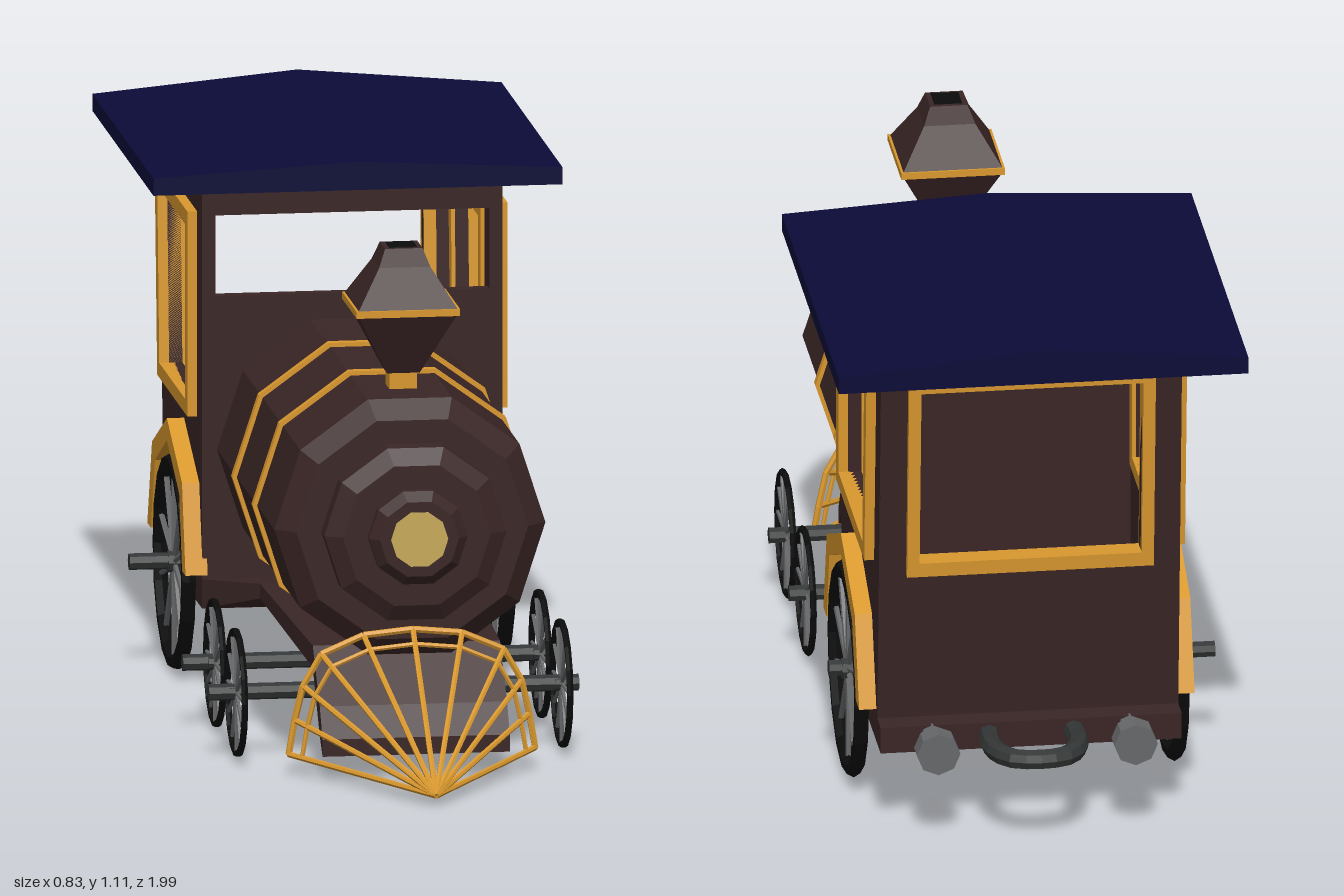
import * as THREE from 'three';

const mat = (name, color, extra = {}) => {
  const m = new THREE.MeshStandardMaterial({ color, flatShading: true, ...extra });
  m.name = name;
  return m;
};

export function createModel() {
  const brown = mat('darkBrown', 0x3a2525);
  const gold = mat('gold', 0xd9982e);
  const navy = mat('navy', 0x0b0b38);
  const black = mat('black', 0x0c0c0c);
  const iron = mat('iron', 0x333636);
  const steel = mat('steel', 0x66686a);
  const lampYellow = mat('lampYellow', 0xc8a95a);
  const root = new THREE.Group();
  root.name = 'steamEngine';

  const add = (name, geo, material, parent = root) => {
    const m = new THREE.Mesh(geo, material);
    m.name = name;
    parent.add(m);
    return m;
  };
  const V = (x, y, z) => new THREE.Vector3(x, y, z);
  const pts = (list) => list.map(([x, y]) => new THREE.Vector2(x, y));
  // flat panel with optional hole
  const panel = (outer, hole, depth) => {
    const s = new THREE.Shape(pts(outer));
    if (hole) s.holes.push(new THREE.Path(pts(hole)));
    return new THREE.ExtrudeGeometry(s, { depth, bevelEnabled: false });
  };
  // panel drawn in (z, y), spanning x0..x0+depth
  const sidePanel = (outer, hole, x0, depth) =>
    panel(outer, hole, depth).rotateY(-Math.PI / 2).translate(x0 + depth, 0, 0);
  const rect = (x0, x1, y0, y1) => [[x0, y0], [x1, y0], [x1, y1], [x0, y1]];
  // straight rod between two points
  const rod = (name, a, b, r, material, parent = root, sides = 6) => {
    const d = b.clone().sub(a);
    const m = add(name, new THREE.CylinderGeometry(r, r, d.length(), sides), material, parent);
    m.position.copy(a).addScaledVector(d, 0.5);
    m.quaternion.setFromUnitVectors(V(0, 1, 0), d.normalize());
    return m;
  };
  // ten-sided turned part along z from (radius, z) points
  const turned = (list) =>
    new THREE.LatheGeometry(pts(list), 10, Math.PI / 2).rotateX(Math.PI / 2).translate(0, 0.505, 0);

  // Boiler with stepped nose, bands and lamp
  add('boiler', turned([[0.275, -0.22], [0.275, 0.61], [0.235, 0.645], [0.185, 0.645], [0.185, 0.69],
    [0.15, 0.71], [0.1, 0.71], [0.1, 0.73], [0.08, 0.748], [0, 0.748]]), brown);
  for (const z of [0.065, 0.355]) {
    add('boilerBand', turned([[0.27, z - 0.01], [0.284, z - 0.01], [0.284, z + 0.01], [0.27, z + 0.01]]), gold);
  }
  add('lamp', turned([[0.058, 0.742], [0.058, 0.751], [0, 0.751]]), lampYellow);

  // Square smokestack
  const square = (name, top, bottom, y0, y1, material) => {
    const g = new THREE.CylinderGeometry(top * Math.SQRT2, bottom * Math.SQRT2, y1 - y0, 4);
    add(name, g.rotateY(Math.PI / 4).translate(0, (y0 + y1) / 2, 0.485), material);
  };
  square('stackBase', 0.028, 0.028, 0.75, 0.8, gold);
  square('stackFunnel', 0.1, 0.033, 0.8, 0.93, brown);
  square('stackRim', 0.105, 0.105, 0.928, 0.942, gold);
  square('stackHood', 0.052, 0.1, 0.942, 1.02, brown);
  square('stackTop', 0.038, 0.052, 1.02, 1.056, brown);
  square('stackHole', 0.028, 0.028, 1.05, 1.058, black);

  // Cab walls, window frames and wheel guards
  const wall = 0.027;
  const winOuter = [[-0.28, 0.56], [-0.28, 0.98], [-0.745, 0.98], [-0.71, 0.56]];
  const winInner = [[-0.315, 0.59], [-0.315, 0.948], [-0.708, 0.948], [-0.68, 0.59]];
  const guard = [[-0.2, 0.25], [-0.25, 0.43], [-0.466, 0.52], [-0.678, 0.43], [-0.745, 0.25],
    [-0.695, 0.25], [-0.637, 0.4], [-0.466, 0.475], [-0.29, 0.4], [-0.25, 0.25]];
  for (const s of [1, -1]) {
    const x = (inner, depth) => (s > 0 ? inner : -inner - depth);
    add('cabSide', sidePanel([[-0.21, 0.2], [-0.21, 1.05], [-0.82, 1.05], [-0.755, 0.2]],
      winInner, x(0.305 - wall, wall), wall), brown);
    add('sideWindowFrame', sidePanel(winOuter, winInner, x(0.27, 0.055), 0.055), gold);
    add('wheelGuard', sidePanel(guard, null, x(0.295, 0.045), 0.045), gold);
  }
  add('cabFront', panel(rect(-0.304, 0.304, 0.18, 1.05), rect(-0.278, 0.278, 0.82, 0.985), 0.025)
    .translate(0, 0, -0.234), brown);
  // rear panels lean backwards
  const lean = (geo, offset) => {
    const p = geo.attributes.position;
    for (let i = 0; i < p.count; i++) {
      p.setZ(i, p.getZ(i) + offset - 0.755 - (p.getY(i) - 0.2) * 0.0765);
    }
    return geo;
  };
  const backHole = rect(-0.225, 0.225, 0.585, 0.965);
  add('cabBack', lean(panel(rect(-0.304, 0.304, 0.2, 1.05), backHole, 0.025), -0.001), brown);
  add('backWindowFrame', lean(panel(rect(-0.25, 0.25, 0.555, 0.985), backHole, 0.05), -0.018), gold);

  // Roof: shallow gable rising towards the rear
  const roof = panel([[-0.415, 1.045], [0.415, 1.045], [0.415, 1.08], [0, 1.115], [-0.415, 1.08]], null, 0.87)
    .translate(0, 0, -1);
  const rp = roof.attributes.position;
  for (let i = 0; i < rp.count; i++) {
    if (rp.getY(i) > 1.1) rp.setY(i, rp.getZ(i) > -0.5 ? 1.103 : 1.118);
  }
  add('roof', roof, navy);

  // Chassis lofted along z: [z, half width, bottom, top]
  const sections = [[-0.81, 0.305, 0.18, 0.235], [-0.21, 0.305, 0.18, 0.24], [-0.05, 0.21, 0.23, 0.26],
    [0.56, 0.19, 0.21, 0.255], [0.66, 0.19, 0.09, 0.15], [0.7, 0.19, 0.055, 0.09]];
  const pos = [];
  const idx = [];
  sections.forEach(([z, w, b, t], i) => {
    pos.push(-w, b, z, w, b, z, w, t, z, -w, t, z);
    if (i === 0) return;
    for (let j = 0; j < 4; j++) {
      const a = (i - 1) * 4 + j, k = (i - 1) * 4 + ((j + 1) % 4);
      idx.push(a, k, k + 4, a, k + 4, a + 4);
    }
  });
  const e = (sections.length - 1) * 4;
  idx.push(0, 2, 1, 0, 3, 2, e, e + 1, e + 2, e, e + 2, e + 3);
  const chassis = new THREE.BufferGeometry();
  chassis.setAttribute('position', new THREE.Float32BufferAttribute(pos, 3));
  chassis.setIndex(idx);
  chassis.computeVertexNormals();
  add('chassis', chassis, brown);

  // Spoked wheels and axles
  const wheel = (name, x, y, z, r, tube, spokes, spokeR) => {
    const g = new THREE.Group();
    g.name = name;
    g.position.set(x, y, z);
    add('rim', new THREE.TorusGeometry(r - tube, tube, 6, 16).rotateY(Math.PI / 2), black, g);
    for (let i = 0; i < spokes; i++) {
      const a = (i / spokes) * Math.PI * 2;
      rod('spoke', V(0, 0, 0), V(0, Math.cos(a) * (r - tube), Math.sin(a) * (r - tube)), spokeR, steel, g, 5);
    }
    rod('hub', V(-0.014, 0, 0), V(0.014, 0, 0), r * 0.1, iron, g, 8);
    root.add(g);
  };
  for (const s of [1, -1]) {
    wheel('rearWheel', s * 0.325, 0.226, -0.466, 0.22, 0.016, 10, 0.006);
    for (const z of [0.15, 0.453]) wheel('frontWheel', s * 0.33, 0.142, z, 0.132, 0.007, 12, 0.004);
  }
  rod('rearAxle', V(-0.417, 0.228, -0.466), V(0.365, 0.228, -0.466), 0.017, iron, root, 8);
  rod('middleAxle', V(-0.395, 0.142, 0.14), V(0.365, 0.142, 0.14), 0.017, iron, root, 8);
  rod('frontAxle', V(-0.386, 0.142, 0.447), V(0.365, 0.142, 0.447), 0.017, iron, root, 8);

  // Cowcatcher: fan of rods from the tip to two arcs
  const tip = V(0, 0.027, 0.985);
  const half = [[0.25, 0.05, 0.64], [0.238, 0.12, 0.64], [0.222, 0.19, 0.645], [0.185, 0.255, 0.648],
    [0.1, 0.292, 0.65]].map((p) => V(...p));
  const arc = [...half, V(0, 0.302, 0.652), ...half.slice().reverse().map((p) => V(-p.x, p.y, p.z))];
  const inner = arc.map((p) => tip.clone().lerp(p, 0.91));
  arc.forEach((p, i) => {
    rod('cowcatcherBar', tip, p, 0.006, gold);
    if (i > 0) {
      rod('cowcatcherArc', arc[i - 1], p, 0.007, gold);
      rod('cowcatcherInnerArc', inner[i - 1], inner[i], 0.005, gold);
    }
  });

  // Rear buffers and coupling loop
  for (const x of [-0.2, 0.2]) {
    rod('bufferStem', V(x, 0.21, -0.8), V(x, 0.21, -0.865), 0.026, steel, root, 8);
    rod('bufferHead', V(x, 0.21, -0.86), V(x, 0.21, -0.905), 0.044, steel, root, 8);
  }
  const loop = new THREE.CatmullRomCurve3([V(-0.085, 0.21, -0.79), V(-0.085, 0.21, -0.89), V(-0.05, 0.21, -0.945),
    V(0.05, 0.21, -0.945), V(0.085, 0.21, -0.89), V(0.085, 0.21, -0.79)]);
  add('coupling', new THREE.TubeGeometry(loop, 16, 0.021, 8), iron);

  return root;
}
